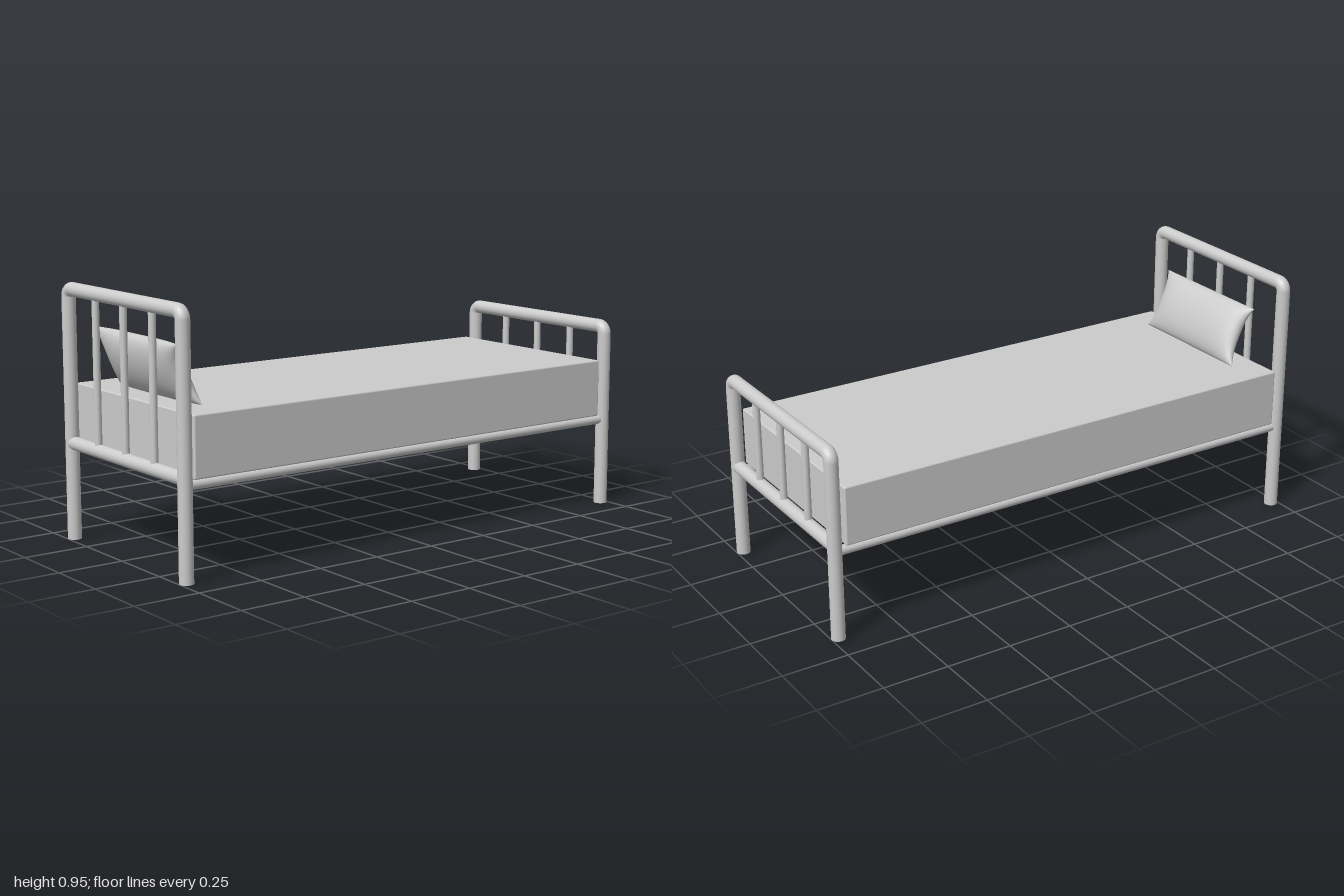
import * as THREE from 'three';
import { mergeVertices, mergeGeometries } from 'three/addons/utils/BufferGeometryUtils.js';
import { RoundedBoxGeometry } from 'three/addons/geometries/RoundedBoxGeometry.js';

const material = new THREE.MeshStandardMaterial({ color: 0xcccccc });
const R = 0.026; // main tube radius
const BEND = 0.028; // centreline radius of the frame corners
const POST_X = 0.974;
const POST_Z = 0.382;
const END_RAIL_Y = 0.361;

function add(parent, name, geometry, x = 0, y = 0, z = 0) {
  const mesh = new THREE.Mesh(geometry, material);
  mesh.name = name;
  mesh.position.set(x, y, z);
  parent.add(mesh);
  return mesh;
}

// Straight tube between two points
function rod(parent, name, a, b, radius) {
  const from = new THREE.Vector3(...a);
  const to = new THREE.Vector3(...b);
  const dir = to.clone().sub(from);
  const mesh = add(parent, name, new THREE.CylinderGeometry(radius, radius, dir.length(), 20));
  mesh.position.copy(from).add(to).multiplyScalar(0.5);
  mesh.quaternion.setFromUnitVectors(new THREE.Vector3(0, 1, 0), dir.normalize());
  return mesh;
}

// Bent tube end with a lower rail and three spindles
function bedEnd(name, x, height) {
  const group = new THREE.Group();
  group.name = name;
  group.position.x = x;
  const topY = height - R;
  const bendY = topY - BEND;
  const bendZ = POST_Z - BEND;
  for (const side of [-1, 1]) {
    rod(group, 'post', [0, 0, side * POST_Z], [0, bendY, side * POST_Z], R);
    const corner = add(group, 'corner', new THREE.TorusGeometry(BEND, R, 20, 6, Math.PI / 2), 0, bendY, side * bendZ);
    corner.rotation.y = -side * Math.PI / 2;
  }
  rod(group, 'topRail', [0, topY, -bendZ], [0, topY, bendZ], R);
  rod(group, 'lowerRail', [0, END_RAIL_Y, -POST_Z], [0, END_RAIL_Y, POST_Z], R - 0.001);
  for (const z of [-0.19, 0, 0.19]) {
    rod(group, 'spindle', [0, END_RAIL_Y, z], [0, topY, z], 0.0135);
  }
  return group;
}

// Cushion with pinched corners, made of two bulged sheets joined at the rim
function pillowGeometry() {
  const sheets = [1, -1].map((face) => {
    const sheet = new THREE.PlaneGeometry(2, 2, 24, 20);
    sheet.deleteAttribute('uv');
    sheet.deleteAttribute('normal');
    const p = sheet.attributes.position;
    for (let i = 0; i < p.count; i++) {
      const u = Math.sin(p.getX(i) * Math.PI / 2);
      const v = Math.sin(p.getY(i) * Math.PI / 2);
      const width = 0.24 + 0.033 * Math.abs(v) ** 2.5;
      const bulge = Math.sqrt(Math.max(0, (1 - u ** 4) * (1 - v * v)));
      p.setXYZ(i, face * u * width, v * 0.119, face * bulge * 0.05);
    }
    return sheet;
  });
  const geometry = mergeVertices(mergeGeometries(sheets), 1e-5);
  geometry.computeVertexNormals();
  return geometry;
}

export function createModel() {
  const bed = new THREE.Group();
  bed.name = 'bed';
  bed.add(bedEnd('headboard', -POST_X, 0.953));
  bed.add(bedEnd('footboard', POST_X, 0.733));

  // Long rails under the mattress
  for (const side of [-1, 1]) {
    const z = side * 0.38;
    rod(bed, 'sideRail', [-POST_X, 0.338, z], [POST_X, 0.338, z], 0.018);
  }

  add(bed, 'mattress', new RoundedBoxGeometry(1.88, 0.222, 0.796, 2, 0.006), -0.004, 0.467, 0);

  // Pillow leaning on the headboard
  const pillow = add(bed, 'pillow', pillowGeometry(), -0.88, 0.69, 0);
  pillow.rotation.set(0, Math.PI / 2, 0.42, 'ZYX');
  return bed;
}
